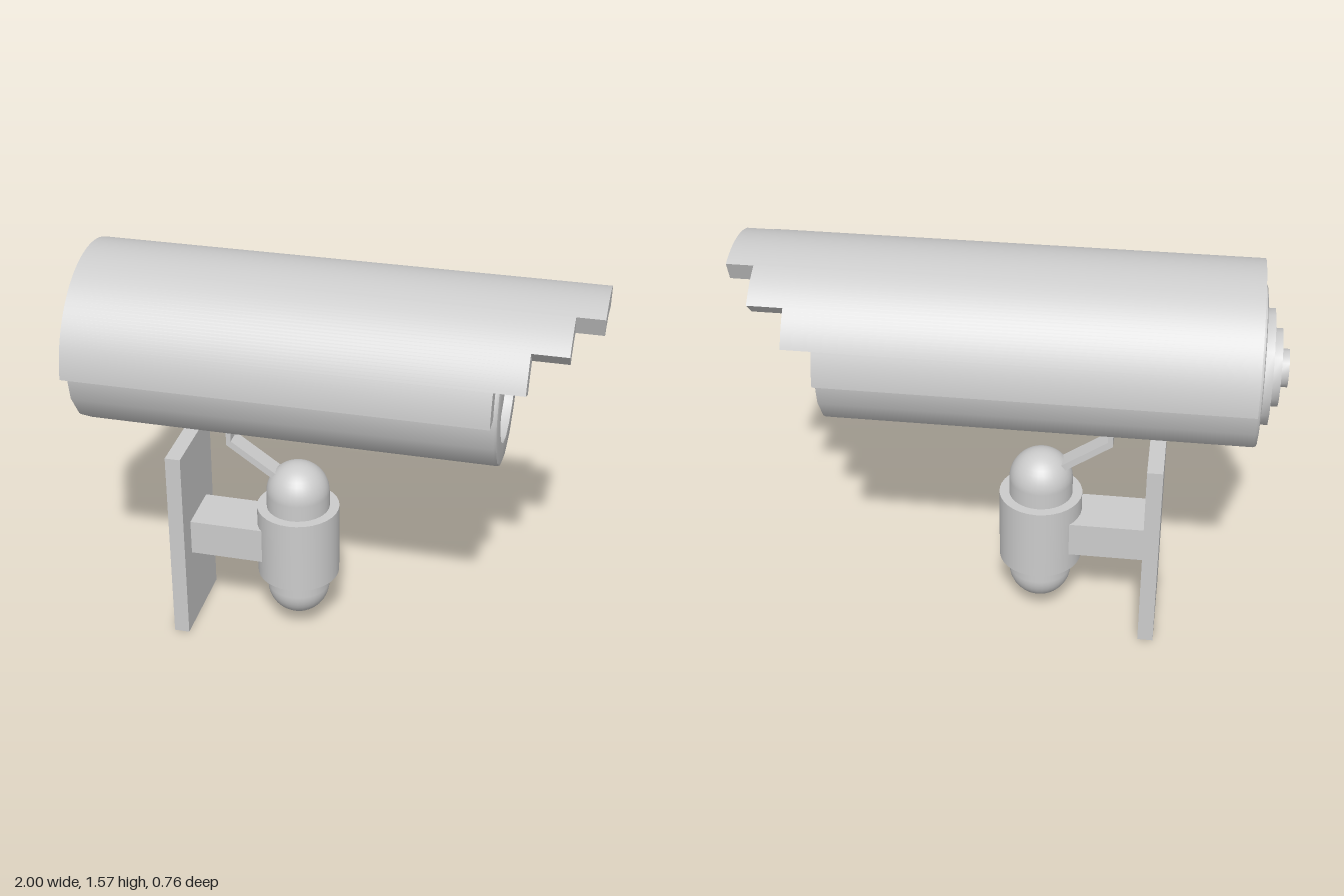
import * as THREE from 'three';
import { mergeGeometries, toCreasedNormals } from 'three/addons/utils/BufferGeometryUtils.js';

const material = new THREE.MeshStandardMaterial({ color: 0xcccccc });
const AXIS_Y = 1.18; // height of the camera housing axis
const POST_X = -0.112; // vertical axis of the mount post

function add(group, name, geometry, x = 0, y = 0, z = 0) {
  const mesh = new THREE.Mesh(geometry, material);
  mesh.name = name;
  mesh.position.set(x, y, z);
  group.add(mesh);
  return mesh;
}

// Sixteen-sided housing: stepped rear cap, bevelled barrel, recessed lens rings
function housingGeometry() {
  const profile = [
    [0, -1], [0.07, -1], [0.07, -0.97], [0.143, -0.97], [0.143, -0.938],
    [0.213, -0.938], [0.213, -0.905], [0.286, -0.905], [0.294, -0.902], [0.298, -0.893],
    [0.298, 0.664], [0.294, 0.673], [0.286, 0.676], [0.213, 0.676], [0.213, 0.643],
    [0.143, 0.643], [0.143, 0.611], [0.07, 0.611], [0.07, 0.58], [0, 0.58],
  ].map(([r, x]) => new THREE.Vector2(r, x));
  const lathe = new THREE.LatheGeometry(profile, 16).rotateZ(-Math.PI / 2);
  return toCreasedNormals(lathe, 0.7);
}

// Curved sunshade made of arc sectors that reach further forward towards the top
function visorGeometry() {
  const rear = -0.89;
  const angles = [2, 22, 44, 68, 112, 136, 158, 178];
  const fronts = [0.66, 0.77, 0.9, 1, 0.9, 0.77, 0.66];
  const sectors = fronts.map((front, i) => {
    const a = THREE.MathUtils.degToRad(angles[i]);
    const b = THREE.MathUtils.degToRad(angles[i + 1]);
    const shape = new THREE.Shape();
    shape.absarc(0, 0, 0.38, a, b, false);
    shape.absarc(0, 0, 0.302, b, a, true);
    shape.closePath();
    return new THREE.ExtrudeGeometry(shape, { depth: front - rear, bevelEnabled: false, curveSegments: 6 })
      .translate(0, 0, rear)
      .rotateY(Math.PI / 2);
  });
  return toCreasedNormals(mergeGeometries(sectors), 0.6);
}

// Bent flat strip joining the post to the housing
function strutGeometry() {
  const outline = [
    [-0.385, 0.92], [-0.385, 0.806], [-0.2, 0.677], [-0.16, 0.66],
    [-0.18, 0.695], [-0.366, 0.824], [-0.366, 0.92],
  ].map(([x, y]) => new THREE.Vector2(x, y));
  const width = 0.075;
  return new THREE.ExtrudeGeometry(new THREE.Shape(outline), { depth: width, bevelEnabled: false })
    .translate(0, 0, -width / 2);
}

export function createModel() {
  const model = new THREE.Group();
  model.name = 'securityCamera';

  // Camera head
  add(model, 'housing', housingGeometry(), 0, AXIS_Y);
  add(model, 'visor', visorGeometry(), 0, 1.188);

  // Mount post with its sleeve
  add(model, 'strut', strutGeometry());
  add(model, 'post', new THREE.CapsuleGeometry(0.123, 0.424, 10, 32), POST_X, 0.405);
  add(model, 'sleeve', new THREE.CylinderGeometry(0.161, 0.161, 0.298, 32), POST_X, 0.404);

  // Wall bracket
  add(model, 'bracketArm', new THREE.BoxGeometry(0.41, 0.144, 0.208), -0.325, 0.404);
  add(model, 'wallPlate', new THREE.BoxGeometry(0.06, 0.805, 0.374), -0.552, 0.4025);

  return model;
}
